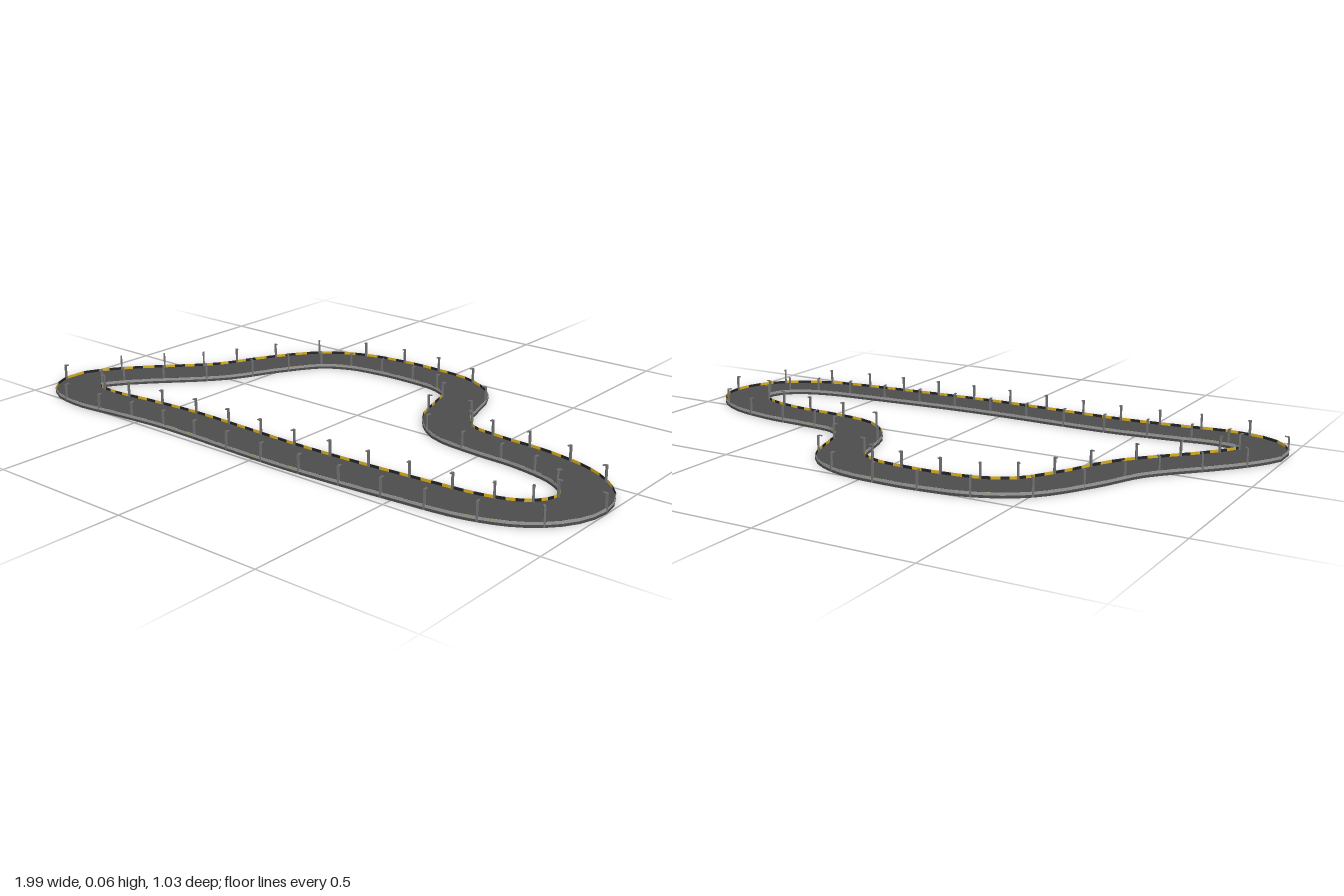
import * as THREE from 'three';

const SEGMENTS = 128;
const HALF = 0.076; // half the road width
const WALL = 0.0008; // barrier thickness

const asphalt = new THREE.MeshStandardMaterial({ name: 'asphalt', color: 0x4c4c4c });
const railGrey = new THREE.MeshStandardMaterial({ name: 'rail grey', color: 0x9a9a9a });
const yellow = new THREE.MeshStandardMaterial({ name: 'yellow', color: 0xd8ac18 });
const black = new THREE.MeshStandardMaterial({ name: 'black', color: 0x222222 });
const postGrey = new THREE.MeshStandardMaterial({ name: 'post grey', color: 0x707070 });

// Centre line of the circuit as [x, z], clockwise from above
const course = [
  [0.924, 0.17], [0.902, 0.25], [0.835, 0.32], [0.715, 0.367], [0.5, 0.39],
  [0.1, 0.412], [-0.4, 0.405], [-0.6, 0.421], [-0.77, 0.437], [-0.88, 0.41],
  [-0.924, 0.335], [-0.89, 0.26], [-0.82, 0.17], [-0.64, -0.03], [-0.555, -0.2],
  [-0.455, -0.35], [-0.34, -0.415], [-0.22, -0.436],
  [-0.1, -0.44], [0.07, -0.422], [0.17, -0.36], [0.212, -0.25], [0.25, -0.14],
  [0.34, -0.055], [0.48, -0.03], [0.65, -0.018], [0.81, 0.025], [0.902, 0.1],
];
const curve = new THREE.CatmullRomCurve3(
  course.map(([x, z]) => new THREE.Vector3(x, 0, z)), true, 'centripetal');
curve.arcLengthDivisions = 600;

// Stations round the lap: centre point and outward normal
const stations = [];
for (let i = 0; i < SEGMENTS; i++) {
  const t = curve.getTangentAt(i / SEGMENTS);
  stations.push({
    p: curve.getPointAt(i / SEGMENTS),
    n: new THREE.Vector3(t.z, 0, -t.x).normalize(),
  });
}

// Sweeps a box section (outward offsets o0..o1, heights y0..y1) round the lap,
// on every segment or, with step 2, on every other one from first
function sweep(name, material, o0, o1, y0, y1, first = 0, step = 1) {
  const profile = [[o0, y0], [o1, y0], [o1, y1], [o0, y1]];
  const at = (i, j) => {
    const s = stations[i % SEGMENTS];
    const [o, y] = profile[j % 4];
    return [s.p.x + s.n.x * o, y, s.p.z + s.n.z * o];
  };
  const pos = [];
  for (let i = first; i < SEGMENTS; i += step) {
    for (let j = 0; j < 4; j++) {
      const a = at(i, j), b = at(i, j + 1), c = at(i + 1, j), d = at(i + 1, j + 1);
      pos.push(...a, ...b, ...d, ...a, ...d, ...c);
    }
  }
  const geometry = new THREE.BufferGeometry();
  geometry.setAttribute('position', new THREE.Float32BufferAttribute(pos, 3));
  geometry.computeVertexNormals();
  const mesh = new THREE.Mesh(geometry, material);
  mesh.name = name;
  return mesh;
}

// Lamp post: a stem with a short arm along local -x
const stemGeometry = new THREE.BoxGeometry(0.006, 0.06, 0.006).translate(0, 0.03, 0);
const armGeometry = new THREE.BoxGeometry(0.012, 0.003, 0.006).translate(-0.006, 0.0595, 0);
function lampPost() {
  const post = new THREE.Group();
  post.name = 'lampPost';
  const stem = new THREE.Mesh(stemGeometry, postGrey);
  stem.name = 'stem';
  const arm = new THREE.Mesh(armGeometry, postGrey);
  arm.name = 'arm';
  post.add(stem, arm);
  return post;
}

export function createModel() {
  const group = new THREE.Group();
  group.name = 'raceTrack';

  // Road slab
  group.add(sweep('road', asphalt, -HALF, HALF, 0, 0.008));

  // Low thin barriers along both edges
  group.add(sweep('outerBarrier', railGrey, HALF - WALL, HALF, 0.008, 0.017));
  group.add(sweep('innerBarrier', railGrey, -HALF, -HALF + WALL, 0.008, 0.017));

  // Yellow and black dashes on the road side of the barriers
  [yellow, black].forEach((material, k) => {
    const edge = HALF - WALL, face = edge - 0.0005;
    group.add(sweep(`${material.name} outer dashes`, material, face, edge, 0.008, 0.017, k, 2));
    group.add(sweep(`${material.name} inner dashes`, material, -edge, -face, 0.008, 0.017, k, 2));
  });

  // Lamp posts in pairs, arms reaching over the road
  for (let i = 0; i < SEGMENTS; i += 4) {
    const { p, n } = stations[i];
    for (const side of [1, -1]) {
      const post = lampPost();
      post.position.copy(p).addScaledVector(n, side * (HALF - 0.003));
      post.rotation.y = Math.atan2(-n.z * side, n.x * side);
      group.add(post);
    }
  }
  return group;
}
